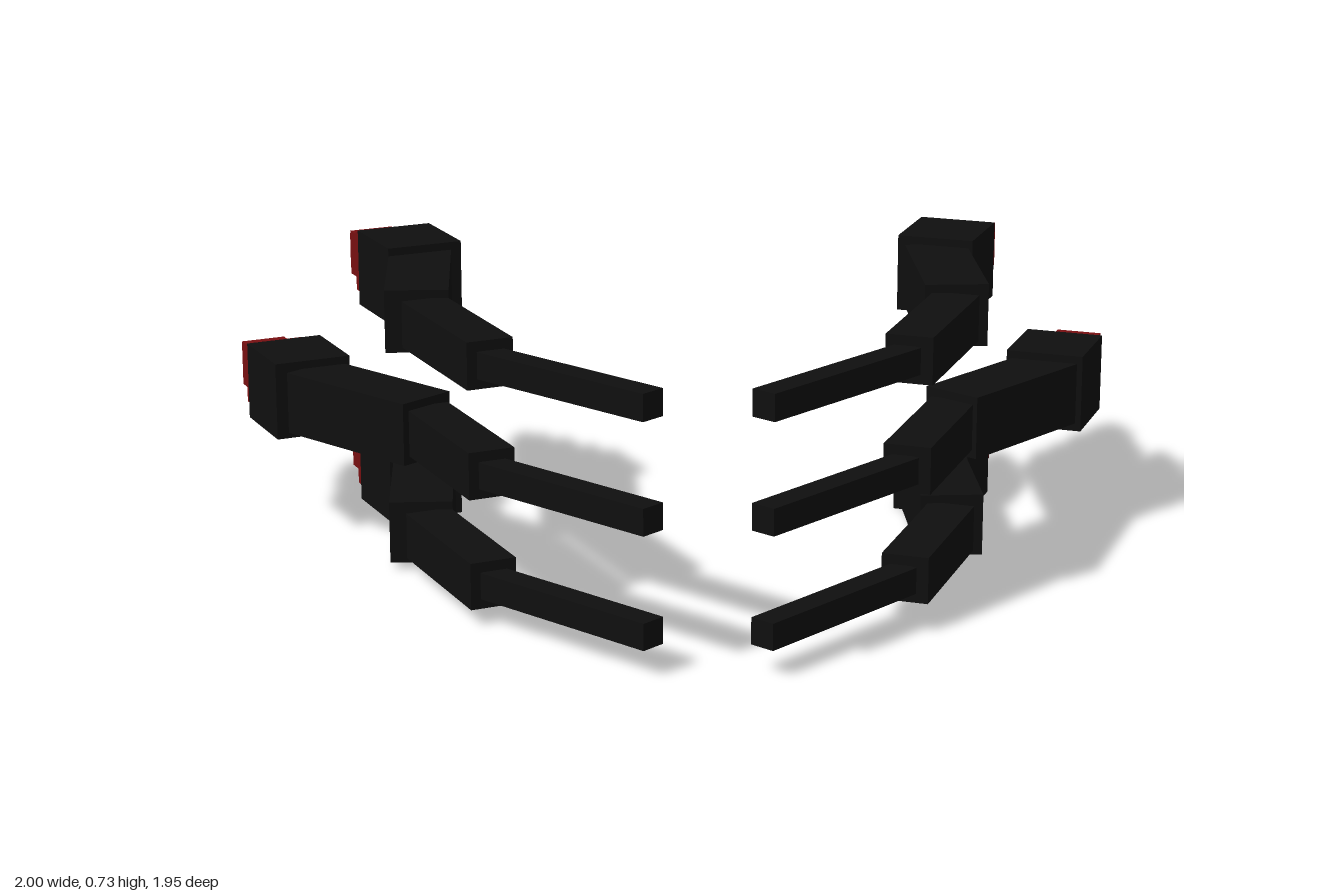
import * as THREE from 'three';

const black = new THREE.MeshStandardMaterial({ color: 0x0f0f0f });
black.name = 'black';
const red = new THREE.MeshStandardMaterial({ color: 0x780f11 });
red.name = 'dark red';

const rad = THREE.MathUtils.degToRad;

// Square bar centred on (x, z), its length pointing along the angle (0 = +x, 90 = +z)
function bar(name, x, z, angle, length, width, material) {
  const mesh = new THREE.Mesh(new THREE.BoxGeometry(length, width, width), material);
  mesh.name = name;
  mesh.position.set(x, 0, z);
  mesh.rotation.y = -rad(angle);
  return mesh;
}

// Same bar, placed by the middle of its starting end
function barFrom(name, x, z, angle, length, width, material) {
  const a = rad(angle);
  return bar(name, x + Math.cos(a) * length / 2, z + Math.sin(a) * length / 2, angle, length, width, material);
}

// Stepped tip: [end distance from the wrist centre, width]
const TIP_STEPS = [[0.186, 0.155], [0.281, 0.115], [0.35, 0.067], [0.385, 0.027]];

// root, elbow, forearm: starting points; wrist: centre; turn: maps angles to the arm's side
function makeArm(name, y, { root, elbow, forearm, wrist, forearmAngle }, turn) {
  const arm = new THREE.Group();
  arm.name = name;
  arm.position.y = y;
  const tilt = turn(202.5);
  arm.add(barFrom('rootBar', ...root, turn(180), 0.52, 0.065, black));
  arm.add(barFrom('upperArm', ...elbow, tilt, 0.42, 0.115, black));
  arm.add(barFrom('forearm', ...forearm, turn(forearmAngle), 0.42, 0.156, black));
  arm.add(bar('wrist', ...wrist, tilt, 0.222, 0.196, black));
  const dx = Math.cos(rad(tilt)), dz = Math.sin(rad(tilt));
  let start = 0.1;
  TIP_STEPS.forEach(([end, width], i) => {
    arm.add(barFrom('tipStep' + (i + 1), wrist[0] + dx * start, wrist[1] + dz * start,
      tilt, end - start, width, red));
    start = end;
  });
  return arm;
}

export function createModel() {
  const model = new THREE.Group();
  model.name = 'clawArms';

  // Arms reaching to -x
  const sideTurn = (a) => a;
  const side = { root: [0.76, 0.923], elbow: [0.25, 0.923] };
  const sideBent = { ...side, forearm: [-0.155, 0.77], forearmAngle: 225 };
  const sideStraight = { ...side, forearm: [-0.13, 0.768], forearmAngle: 180, wrist: [-0.642, 0.727] };
  model.add(makeArm('upperSideArm', 0.637, { ...sideBent, wrist: [-0.523, 0.445] }, sideTurn));
  model.add(makeArm('middleSideArm', 0.371, sideStraight, sideTurn));
  model.add(makeArm('lowerSideArm', 0.1, { ...sideBent, wrist: [-0.552, 0.43] }, sideTurn));

  // Arms reaching to -z, mirrored across the diagonal
  const backTurn = (a) => 90 - a;
  const back = { root: [0.943, 0.76], elbow: [0.945, 0.245] };
  const backBent = { ...back, forearm: [0.78, -0.15], forearmAngle: 225, wrist: [0.449, -0.538] };
  const backStraight = { ...back, forearm: [0.787, -0.13], forearmAngle: 180, wrist: [0.745, -0.615] };
  model.add(makeArm('upperBackArm', 0.637, backBent, backTurn));
  model.add(makeArm('middleBackArm', 0.371, backStraight, backTurn));
  model.add(makeArm('lowerBackArm', 0.1, backBent, backTurn));

  return model;
}
